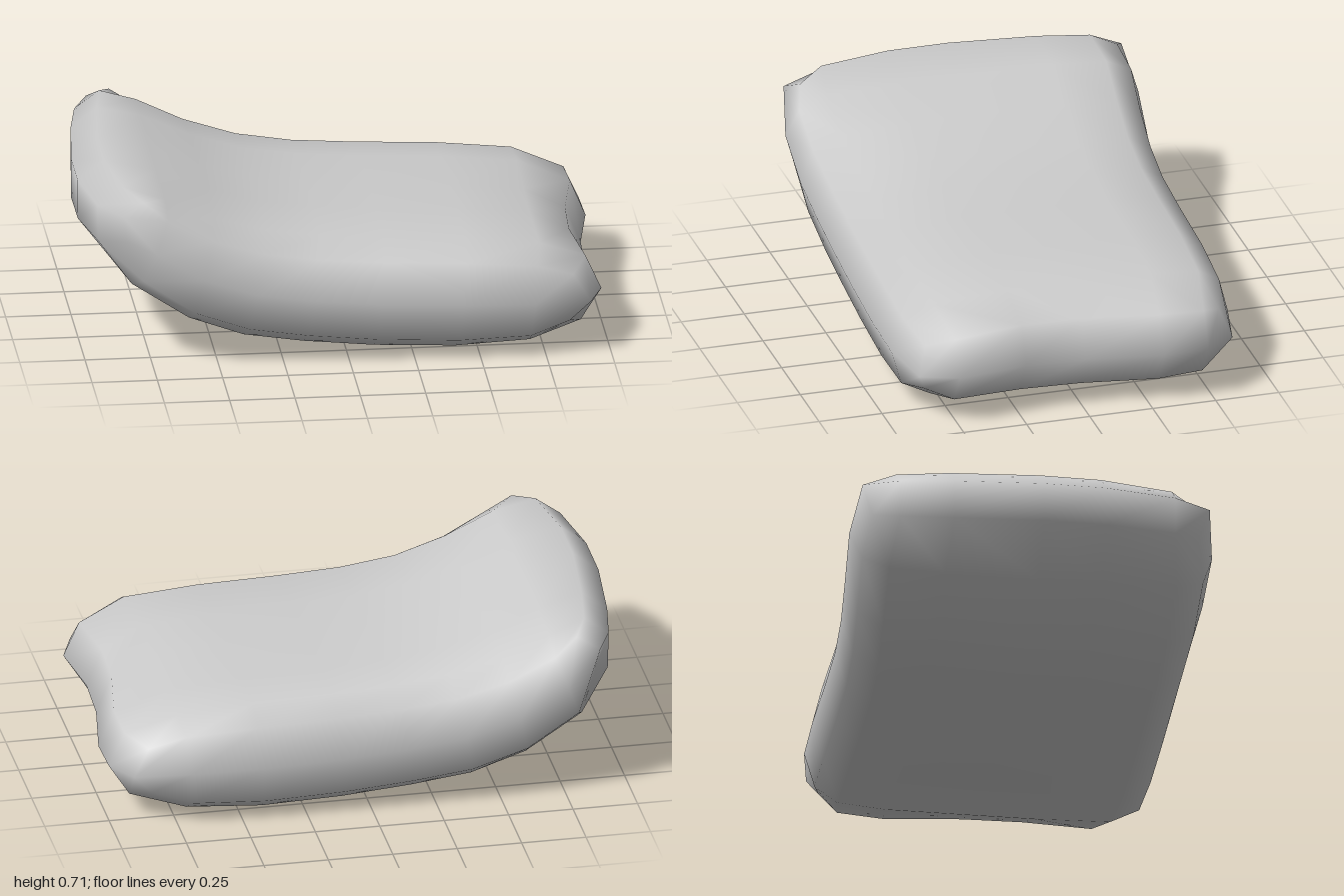
import * as THREE from 'three';
import { mergeVertices } from 'three/addons/utils/BufferGeometryUtils.js';

// Side profile, from the raised end (-x) to the low end (+x)
const TOP = [[-0.9, 0.715], [-0.7, 0.67], [-0.51, 0.59], [-0.31, 0.53], [-0.1, 0.5],
  [0.14, 0.485], [0.45, 0.472], [0.74, 0.445], [0.94, 0.365]];
const BOTTOM = [[-1, 0.48], [-0.84, 0.305], [-0.61, 0.155], [-0.4, 0.075], [-0.17, 0.04],
  [0.1, 0.015], [0.41, 0.003], [0.7, 0.02], [0.92, 0.085]];
const RIM_ENDS = { 0: [-1, 0.635], 8: [1, 0.22] };

// Outline seen from above: depth of the front and back rims along x
const FRONT = [0.66, 0.69, 0.685, 0.675, 0.677, 0.685, 0.695, 0.698, 0.65];
const BACK = [0.68, 0.71, 0.695, 0.675, 0.66, 0.655, 0.65, 0.635, 0.59];

// Rows from back to front: spacing, thickness, and how far each end is pulled in
const ROW = [-1, -0.8, -0.5, 0, 0.36, 0.78, 1];
const THICK = [0.66, 0.92, 0.99, 1, 0.99, 0.92, 0.66];
const PULL_LEFT = [0.13, 0.07, 0.035, 0, 0, 0.045, 0.13];
const PULL_RIGHT = [0.08, 0.005, 0, 0.05, 0.06, 0.025, 0.08];
const END_WEIGHT = [1, 0.2, 0, 0, 0, 0, 0, 0.2, 1];

// Moves a grid point of a box (i along x, k up, j along z) onto the cushion
function cushionPoint(i, k, j) {
  const mid = [(TOP[i][0] + BOTTOM[i][0]) / 2, (TOP[i][1] + BOTTOM[i][1]) / 2];
  let x = mid[0], y = mid[1];
  if (k === 1) {
    if (RIM_ENDS[i]) [x, y] = RIM_ENDS[i];
  } else {
    const p = k === 2 ? TOP[i] : BOTTOM[i];
    x += (p[0] - mid[0]) * THICK[j];
    y += (p[1] - mid[1]) * THICK[j];
  }
  x += END_WEIGHT[i] * (i < 4 ? PULL_LEFT[j] : -PULL_RIGHT[j]);

  const edge = j === 0 || j === 6;
  const depth = ROW[j] < 0 ? BACK[i] : FRONT[i];
  const z = ROW[j] * depth * (edge && k !== 1 ? 0.94 : 1);
  return [x, y, z];
}

export function createModel() {
  const box = new THREE.BoxGeometry(8, 2, 6, 8, 2, 6);
  box.deleteAttribute('normal');
  box.deleteAttribute('uv');
  const geometry = mergeVertices(box);
  const pos = geometry.attributes.position;
  for (let n = 0; n < pos.count; n++) {
    const i = Math.round(pos.getX(n) + 4);
    const k = Math.round(pos.getY(n) + 1);
    const j = Math.round(pos.getZ(n) + 3);
    pos.setXYZ(n, ...cushionPoint(i, k, j));
  }
  geometry.computeVertexNormals();

  const cushion = new THREE.Mesh(geometry, new THREE.MeshStandardMaterial({ color: 0xcccccc }));
  cushion.name = 'cushion';
  const group = new THREE.Group();
  group.name = 'bentCushion';
  group.add(cushion);
  return group;
}
